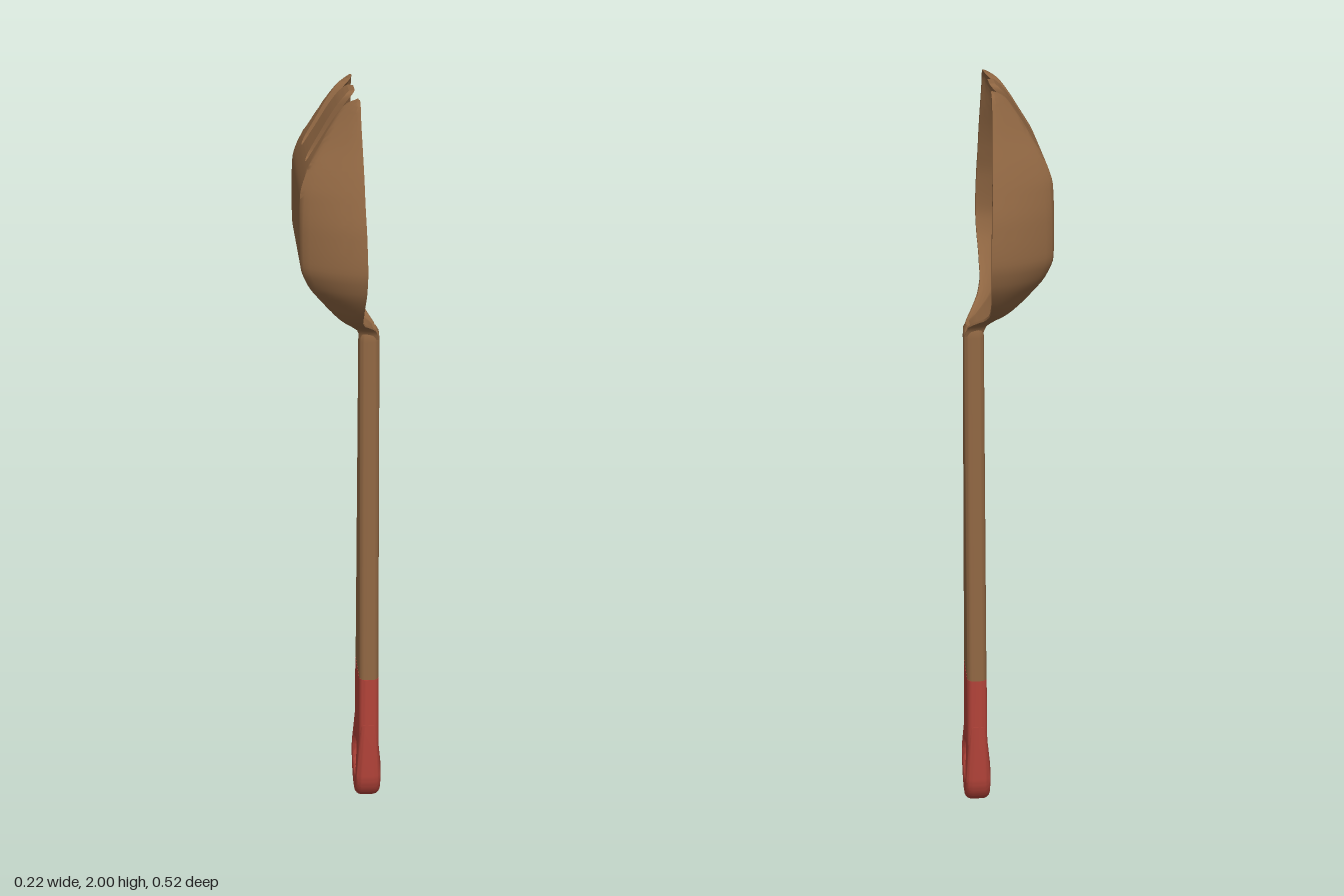
import * as THREE from 'three';
import { toCreasedNormals } from 'three/addons/utils/BufferGeometryUtils.js';

// Smooth monotone lookup of column c in a table whose first column is y
function lookup(table, c, y) {
  const n = table.length;
  if (y <= table[0][0]) return table[0][c];
  if (y >= table[n - 1][0]) return table[n - 1][c];
  let i = 0;
  while (table[i + 1][0] < y) i++;
  const slope = k => (table[k + 1][c] - table[k][c]) / (table[k + 1][0] - table[k][0]);
  const tangent = k => {
    if (k === 0) return slope(0);
    if (k === n - 1) return slope(n - 2);
    const a = slope(k - 1), b = slope(k);
    return a * b <= 0 ? 0 : (2 * a * b) / (a + b);
  };
  const h = table[i + 1][0] - table[i][0], t = (y - table[i][0]) / h, s = 1 - t;
  return table[i][c] * (1 + 2 * t) * s * s + tangent(i) * h * t * s * s
    + table[i + 1][c] * t * t * (3 - 2 * t) - tangent(i + 1) * h * t * t * s;
}

// Collects quads and triangles into a geometry with sharp creases
function surface() {
  const pos = [];
  const tri = (a, b, c) => pos.push(...a, ...b, ...c);
  return {
    tri,
    quad(a, b, c, d) { tri(a, b, c); tri(a, c, d); },
    build(crease) {
      const g = new THREE.BufferGeometry();
      g.setAttribute('position', new THREE.Float32BufferAttribute(pos, 3));
      return toCreasedNormals(g, crease);
    },
  };
}

// Bowl: y, half width, back of floor x, rim x, thickness
const BOWL = [
  [1.355, 0.027, 0.052, 0.098, 0.046],
  [1.38, 0.034, 0.043, 0.090, 0.042],
  [1.40, 0.065, 0.026, 0.074, 0.034],
  [1.43, 0.125, 0.000, 0.052, 0.026],
  [1.46, 0.172, -0.022, 0.044, 0.021],
  [1.50, 0.212, -0.050, 0.044, 0.019],
  [1.56, 0.248, -0.092, 0.047, 0.018],
  [1.61, 0.259, -0.109, 0.048, 0.018],
  [1.70, 0.250, -0.110, 0.046, 0.018],
  [1.78, 0.229, -0.108, 0.043, 0.018],
  [1.83, 0.212, -0.094, 0.042, 0.018],
  [1.90, 0.184, -0.055, 0.040, 0.018],
  [1.97, 0.157, -0.010, 0.038, 0.018],
  [1.99, 0.148, 0.008, 0.038, 0.018],
  [2.00, 0.134, 0.020, 0.038, 0.014],
];
// Slots: y, inner edge of outer tine, half width of middle tine
const SLOT_Y = 1.84;
const SLOTS = [
  [1.84, 0.072, 0.072],
  [1.844, 0.082, 0.062],
  [1.86, 0.089, 0.054],
  [1.90, 0.093, 0.048],
  [1.97, 0.101, 0.043],
  [1.99, 0.106, 0.038],
  [2.00, 0.116, 0.028],
];

// Point of the inner (front) or outer (back) skin of the bowl
function skin(y, z, front) {
  const [w, b, rim, th] = [1, 2, 3, 4].map(c => lookup(BOWL, c, y));
  const floor = 0.72 * w;
  const t = Math.min(1, Math.max(0, (Math.abs(z) - floor) / (w - floor)));
  const s = 0.5 * t + 0.5 * (1 - Math.sqrt(1 - t * t));
  const low = front ? Math.min(b + th, rim) : b;
  return [low + (rim - low) * s, y, front ? z * (1 - Math.min(0.015, w * 0.3) / w) : z];
}

function bowlGeometry() {
  const out = surface(), N = 18, rows = [];
  for (let j = 0; j <= 36; j++) rows.push(1.355 + (SLOT_Y - 1.355) * j / 36);
  for (let j = 1; j <= 24; j++) rows.push(SLOT_Y + (2 - SLOT_Y) * (1 - Math.cos(Math.PI * j / 24)) / 2);

  // Three strips joined below the slots: right, middle and left
  for (const strip of [-1, 0, 1]) {
    const zAt = (y, k) => {
      const w = lookup(BOWL, 1, y);
      const open = y > SLOT_Y;
      const shared = Math.min(SLOTS[0][1], 0.4 * w);
      const inner = open ? lookup(SLOTS, 1, y) : shared;
      const middle = open ? lookup(SLOTS, 2, y) : shared;
      if (strip === 0) return middle * (2 * k / N - 1);
      const f = strip > 0 ? k / N : 1 - k / N;
      return strip * (inner + (w - inner) * Math.sin(f * Math.PI / 2));
    };
    const grid = front => rows.map(y => Array.from({ length: N + 1 }, (_, k) => skin(y, zAt(y, k), front)));
    const F = grid(true), B = grid(false);
    for (let j = 0; j < rows.length - 1; j++) {
      for (let k = 0; k < N; k++) {
        out.quad(F[j][k], F[j + 1][k], F[j + 1][k + 1], F[j][k + 1]);
        out.quad(B[j][k], B[j][k + 1], B[j + 1][k + 1], B[j + 1][k]);
      }
      const slotted = rows[j] >= SLOT_Y - 1e-6;
      if (slotted || strip === 1) out.quad(B[j][N], F[j][N], F[j + 1][N], B[j + 1][N]);
      if (slotted || strip === -1) out.quad(B[j][0], B[j + 1][0], F[j + 1][0], F[j][0]);
    }
    const e = rows.length - 1;
    for (let k = 0; k < N; k++) out.quad(B[e][k], B[e][k + 1], F[e][k + 1], F[e][k]);
  }
  return out.build(0.75);
}

// Rounded bar lofted through sections [y, half width, half depth]
function barGeometry(sections, x, radius) {
  const out = surface();
  const loops = sections.map(([y, hw, hx]) => {
    const loop = [];
    for (let q = 0; q < 4; q++) for (let i = 0; i <= 5; i++) {
      const a = (q + i / 5) * Math.PI / 2;
      const sz = q === 0 || q === 3 ? 1 : -1, sx = q < 2 ? 1 : -1;
      loop.push([x + sx * (hx - radius) + radius * Math.sin(a), y, sz * (hw - radius) + radius * Math.cos(a)]);
    }
    return loop;
  });
  const n = loops[0].length, last = loops.length - 1;
  for (let k = 0; k < n; k++) {
    const m = (k + 1) % n;
    for (let j = 0; j < last; j++) out.quad(loops[j][k], loops[j][m], loops[j + 1][m], loops[j + 1][k]);
    out.tri([x, sections[last][0], 0], loops[last][k], loops[last][m]);
    out.tri([x, sections[0][0], 0], loops[0][m], loops[0][k]);
  }
  return out.build(0.8);
}

// Thickened end of the grip with a hanging hole
function gripEndGeometry() {
  const bevel = 0.018, shape = new THREE.Shape();
  shape.moveTo(0.085 - bevel, 0.24);
  shape.lineTo(0.09 - bevel, 0.1);
  shape.absellipse(0, 0.1, 0.09 - bevel, 0.1 - bevel, 0, Math.PI, true);
  shape.lineTo(bevel - 0.085, 0.24);
  const hole = new THREE.Path();
  hole.absarc(0, 0.117, 0.065, 0, Math.PI * 2, false);
  shape.holes.push(hole);
  const g = new THREE.ExtrudeGeometry(shape, {
    depth: 0.028, bevelThickness: 0.02, bevelSize: bevel, bevelSegments: 6, curveSegments: 24,
  });
  g.translate(0, 0, -0.014);
  const p = g.attributes.position;
  for (let i = 0; i < p.count; i++) {
    const t = THREE.MathUtils.clamp((p.getY(i) - 0.13) / 0.11, 0, 1);
    p.setZ(i, p.getZ(i) * (1 - 0.32 * t));
  }
  g.rotateY(Math.PI / 2);
  g.translate(0.073, 0, 0);
  return toCreasedNormals(g, 0.8);
}

export function createModel() {
  const wood = new THREE.MeshStandardMaterial({ color: 0x8f6642 });
  wood.name = 'brown wood';
  const red = new THREE.MeshStandardMaterial({ color: 0xb04238 });
  red.name = 'red paint';

  const model = new THREE.Group();
  model.name = 'spork';
  const add = (name, geometry, material) => {
    const mesh = new THREE.Mesh(geometry, material);
    mesh.name = name;
    model.add(mesh);
  };
  add('bowlWithTines', bowlGeometry(), wood);
  add('handle', barGeometry([[0.39, 0.076, 0.026], [1.35, 0.03, 0.026], [1.37, 0.029, 0.025], [1.382, 0.024, 0.019]], 0.074, 0.018), wood);
  add('grip', barGeometry([[0.2, 0.085, 0.027], [0.395, 0.0762, 0.0265]], 0.074, 0.018), red);
  add('gripEnd', gripEndGeometry(), red);
  return model;
}
